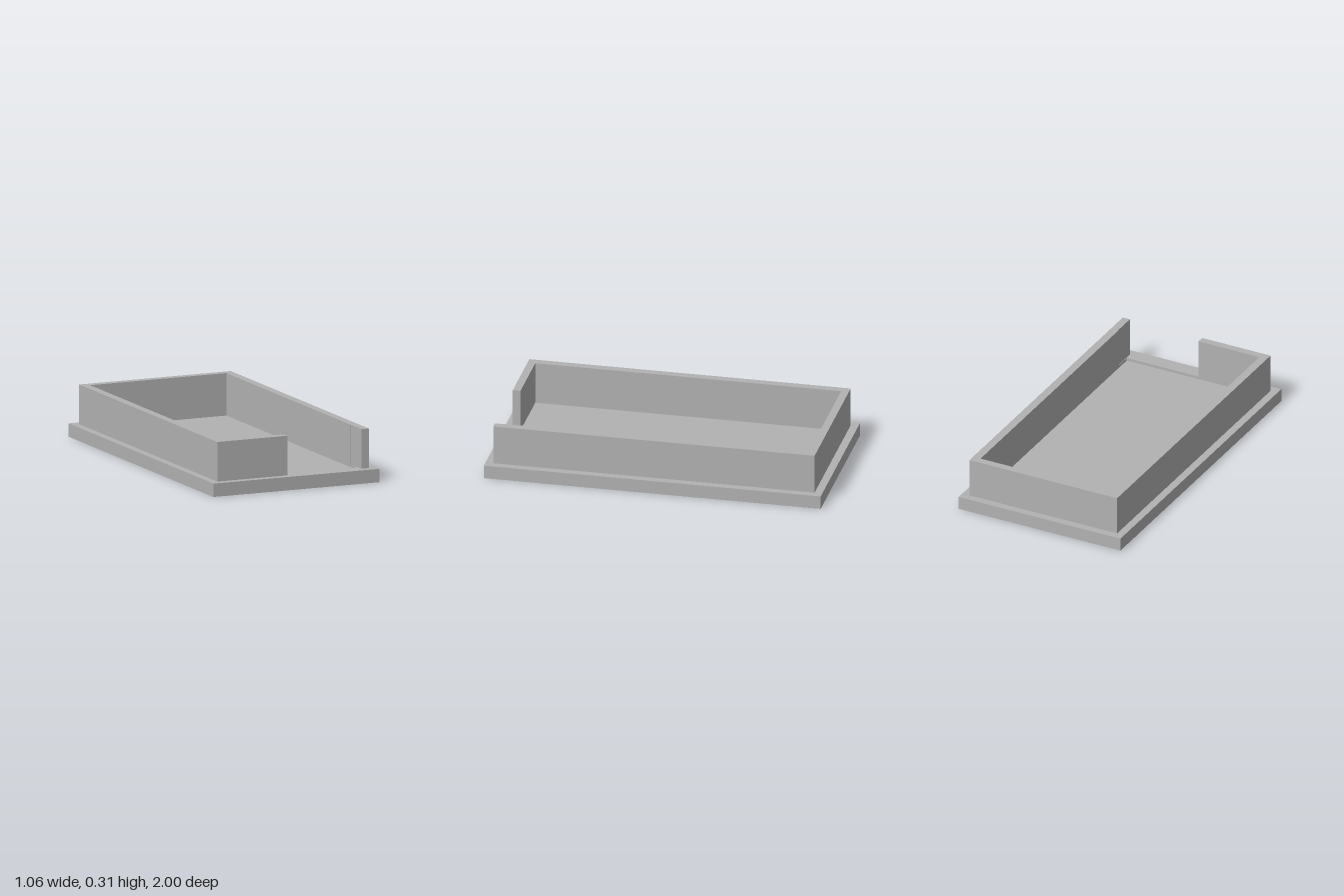
import * as THREE from 'three';

const grey = new THREE.MeshStandardMaterial({ color: 0xb2b2b2 });
grey.name = 'plain grey';

const rect = (x, z) => [[-x, -z], [x, -z], [x, z], [-x, z]];
const toPoints = (list) => list.map(([x, z]) => new THREE.Vector2(x, z));

// Upright slab from a plan outline of (x, z) points, between two heights
function slab(name, outline, bottom, top, hole) {
  const shape = new THREE.Shape(toPoints(outline));
  if (hole) shape.holes.push(new THREE.Path(toPoints(hole)));
  const geometry = new THREE.ExtrudeGeometry(shape, { depth: top - bottom, bevelEnabled: false });
  geometry.rotateX(Math.PI / 2).translate(0, top, 0);
  const mesh = new THREE.Mesh(geometry, grey);
  mesh.name = name;
  return mesh;
}

export function createModel() {
  const group = new THREE.Group();
  group.name = 'openTray';

  const floorY = 0.062, baseY = 0.079, wallY = 0.313;
  const baseX = 0.53, baseZ = 1;
  const outX = 0.484, outZ = 0.954;
  const inX = 0.435, inZ = 0.908;
  const gapLeft = -0.036, gapRight = 0.438, gapBack = 0.81;

  // Base plate, with a shallow recessed floor inside its rim
  group.add(slab('basePlate', rect(baseX, baseZ), 0, floorY));
  group.add(slab('baseRim', rect(baseX, baseZ), floorY, baseY, rect(inX, inZ)));

  // Surrounding wall, open at the front and slightly trimmed beside the opening
  group.add(slab('wall', [
    [gapLeft, outZ], [-outX, outZ], [-outX, -outZ], [outX, -outZ], [outX, outZ],
    [gapRight, outZ], [gapRight, gapBack], [inX, gapBack],
    [inX, -inZ], [-inX, -inZ], [-inX, inZ], [gapLeft, inZ],
  ], baseY, wallY));

  return group;
}
